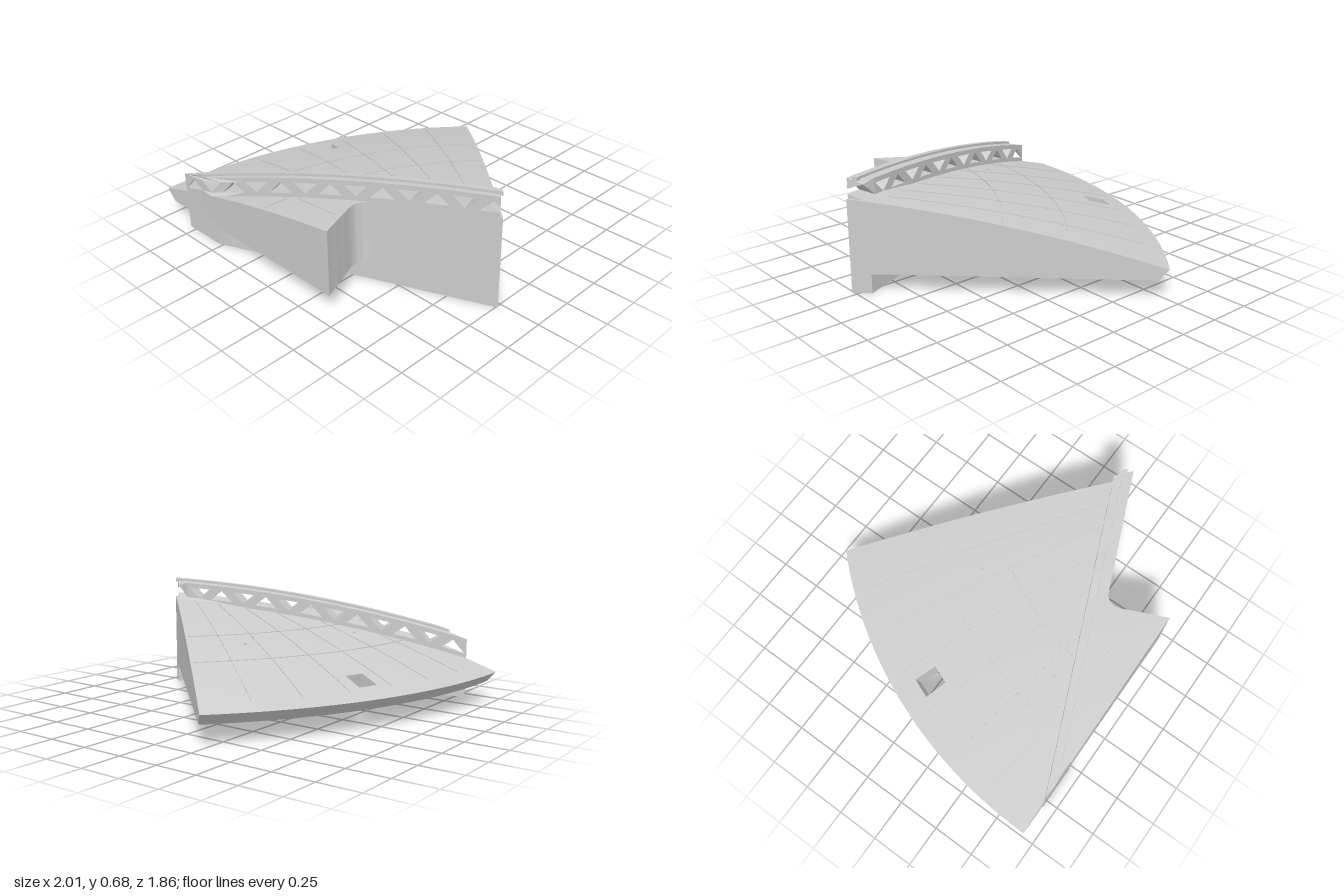
import * as THREE from 'three';
import { toCreasedNormals } from 'three/addons/utils/BufferGeometryUtils.js';

// The part is a sector of a shallow dome around a vertical axis at (CX, CZ)
const CX = 1.68, CZ = 0.93, R = 2.68, BASE = 0.115;
const DEG = Math.PI / 180, SPAN = 44 * DEG, WING = 15.3 * DEG;
const DX = 0.922, DZ = -0.388;                  // beam direction; its normal is (-DZ, DX)
const BACK = 0.547, FRONT = 0.652, MID = 0.6;   // beam offsets along that normal

const dome = (x, z) => 0.604 - 0.059 * ((x - CX) ** 2 + (z - CZ) ** 2);
const polar = (r, t) => [CX - r * Math.cos(t), CZ - r * Math.sin(t)];
const offset = (x, z) => -DZ * x + DX * z;
const onBeam = (s, c) => [s * DX - c * DZ, s * DZ + c * DX];
// radius at which the ray at angle t meets the beam line of offset c
const beamLine = c => t => (1.509 - c) / (-DZ * Math.cos(t) + DX * Math.sin(t));

// inner edge of the front wing as (degrees, radius): straight, then a rounded inside corner
const EDGE = [[0, 1.26], [4.2, 1.303], [8.07, 1.353], [10.75, 1.394], [12.3, 1.409], [14, 1.404], [15.3, 1.382]];
function wingEdge(t) {
  const a = t / DEG;
  let i = 1;
  while (i < EDGE.length - 1 && EDGE[i][0] < a) i++;
  const [p, q] = [EDGE[i - 1], EDGE[i]];
  return p[1] + (q[1] - p[1]) * Math.min(1, (a - p[0]) / (q[0] - p[0]));
}

// solid between two angles and two radii: domed top raised by lift, bottom at y = bottom
// dIn and dOut move the bottom edges along the radius
function sector(t0, t1, rIn, rOut, { bottom = BASE, lift = 0, dIn = 0, dOut = 0, nt = 24, nr = 16 } = {}) {
  const pos = [], idx = [], m = nr + 3;
  for (let i = 0; i <= nt; i++) {
    const t = t0 + (t1 - t0) * i / nt, a = rIn(t), b = rOut(t);
    const put = (r, y) => {
      const [x, z] = polar(r, t);
      pos.push(x, y ?? dome(x, z) + lift, z);
    };
    put(a + dIn, bottom);
    for (let j = 0; j <= nr; j++) put(a + (b - a) * j / nr);
    put(b + dOut, bottom);
  }
  for (let i = 0; i < nt; i++) for (let j = 0; j < m; j++) {
    const a = i * m + j, b = i * m + (j + 1) % m;
    idx.push(a, a + m, b, b, a + m, b + m);
  }
  const e = nt * m;
  for (let j = 1; j < m - 1; j++) idx.push(0, j, j + 1, e, e + j + 1, e + j);
  const g = new THREE.BufferGeometry();
  g.setAttribute('position', new THREE.Float32BufferAttribute(pos, 3));
  g.setIndex(idx);
  return toCreasedNormals(g, 0.4);
}

// pierced band on top of the beam, following the dome along the beam's middle
function trussGeometry() {
  const S0 = -1.098, S1 = 0.804, LOW = -0.01, H = 0.118;
  const curve = s => dome(...onBeam(s, MID));
  const at = (s, v) => new THREE.Vector2(s, curve(s) + v);
  const stops = [S0, -0.848, 0.758];
  for (let s = -1.04; s < 0.72; s += 0.07) stops.push(s);
  stops.sort((a, b) => a - b);
  // the last triangle is open at the end of the beam
  const shape = new THREE.Shape([
    ...stops.map(s => at(s, LOW)),
    at(S1, LOW), at(S1, 0.025), at(0.70, 0.025), at(0.77, 0.09), at(S1, 0.055), at(S1, H),
    ...stops.reverse().map(s => at(s, H))]);
  for (let k = 0; k < 12; k++) {
    const s = -1.015 + 0.1488 * k, up = k % 2 === 0;
    const base = up ? 0.025 : 0.09, tip = up ? 0.09 : 0.025;
    shape.holes.push(new THREE.Path([at(s - 0.07, base), at(s, tip), at(s + 0.07, base)]));
  }
  const g = new THREE.ExtrudeGeometry(shape, { depth: 1, bevelEnabled: false });
  const p = g.attributes.position;
  for (let i = 0; i < p.count; i++) {
    const s = p.getX(i);
    // trim both ends to the side faces of the sector
    const c = p.getZ(i) > 0.5
      ? Math.max(BACK, Math.min(FRONT, (CZ - DZ * s) / DX))
      : Math.max(BACK, BACK + (s - 0.758) * 2.3);
    const [x, z] = onBeam(s, c);
    p.setXYZ(i, x, p.getY(i) + dome(x, z) - curve(s), z);
  }
  return toCreasedNormals(g, 0.4);
}

// fine upright seam along a polar path, only where the panel or the wing is open
function seam(path, under) {
  const pos = [], n = 60;
  const isOpen = ([r, t]) => {
    const c = offset(...polar(r, t));
    return c < BACK - 0.01 || (c > FRONT + 0.01 && t < WING && r > wingEdge(t) + 0.02);
  };
  const ends = ([r, t]) => {
    const [x, z] = polar(r, t), y = under ? BASE : dome(x, z), h = under ? -0.003 : 0.004;
    return [[x, y, z], [x, y + h, z]];
  };
  for (let i = 0; i < n; i++) {
    const a = path(i / n), b = path((i + 1) / n);
    if (!isOpen(a) || !isOpen(b)) continue;
    const [a0, a1] = ends(a), [b0, b1] = ends(b);
    pos.push(...a0, ...b0, ...a1, ...a1, ...b0, ...b1);
  }
  const g = new THREE.BufferGeometry();
  g.setAttribute('position', new THREE.Float32BufferAttribute(pos, 3));
  g.computeVertexNormals();
  return g;
}

export function createModel() {
  const model = new THREE.Group();
  model.name = 'domeSegment';
  const grey = new THREE.MeshStandardMaterial({ color: 0xcccccc, side: THREE.DoubleSide });
  grey.name = 'light grey';
  const add = (name, geometry) => {
    const mesh = new THREE.Mesh(geometry, grey);
    mesh.name = name;
    model.add(mesh);
    return mesh;
  };

  // main panel in four pieces around the square opening, with a chamfered rim
  const inner = beamLine(MID), rim = () => R;
  const h0 = 20.64 * DEG, h1 = 23.36 * DEG, chamfer = { dOut: -0.06 };
  add('panelFrontPart', sector(0, h0, inner, rim, chamfer));
  add('panelBackPart', sector(h1, SPAN, inner, rim, chamfer));
  add('panelInsideOpening', sector(h0, h1, inner, () => 2.41, { dOut: -0.028, nt: 3 }));
  add('panelOutsideOpening', sector(h0, h1, () => 2.545, rim, { dIn: -0.028, dOut: -0.06, nt: 3, nr: 4 }));

  // wing in front of the beam
  add('frontWing', sector(0, WING, wingEdge, t => Math.max(inner(t), wingEdge(t)), { nt: 34 }));

  // beam: solid wall, pierced band and narrow ridge
  add('beamWall', sector(0, SPAN, beamLine(FRONT), beamLine(BACK), { bottom: 0, nt: 40, nr: 3 }));
  add('beamTruss', trussGeometry());
  const ridge = sector(0, SPAN, beamLine(0.617), beamLine(0.593), { bottom: 0, lift: 0.132, nt: 40, nr: 2 });
  // lift the ridge's lower edge into the band, clear of the triangles
  const p = ridge.attributes.position;
  for (let i = 0; i < p.count; i++) {
    if (p.getY(i) < 0.01) p.setY(i, dome(p.getX(i), p.getZ(i)) + 0.11);
  }
  add('beamRidge', toCreasedNormals(ridge, 0.4));

  // radial and ring seams on the domed top
  for (let k = 1; k <= 6; k++) {
    add('radialSeam', seam(u => [1.1 + u * 1.48, k * 6.3 * DEG]));
  }
  for (const r of [1.77, 2.13]) add('ringSeam', seam(u => [r, (0.01 + u * 0.98) * SPAN]));
  // radial seams underneath
  for (let k = 1; k <= 8; k++) {
    add('undersideSeam', seam(u => [1.15 + u * 1.3, (k * 4.9 - 0.6) * DEG], true));
  }

  // small pin marks on the side faces and the top
  const pin = new THREE.CylinderGeometry(0.012, 0.012, 0.008, 16);
  for (const [x, y] of [[-0.23, 0.19], [-0.88, 0.135]]) {
    const m = add('frontPin', pin);
    m.position.set(x, y, CZ - 0.002);
    m.rotation.x = Math.PI / 2;
  }
  for (const [r, y] of [[1.9, 0.19], [2.56, 0.14]]) {
    const [x, z] = polar(r, SPAN), m = add('backPin', pin);
    m.position.set(x - 0.0014, y, z + 0.0014);
    m.rotation.set(Math.PI / 2, 0, SPAN, 'YXZ');
    m.rotation.set(Math.PI / 2, Math.PI - SPAN, 0, 'YXZ');
  }
  for (const [x, z] of [[0.09, -0.135], [-0.2, 0.585]]) {
    add('topPin', pin).position.set(x, dome(x, z), z);
  }
  return model;
}
